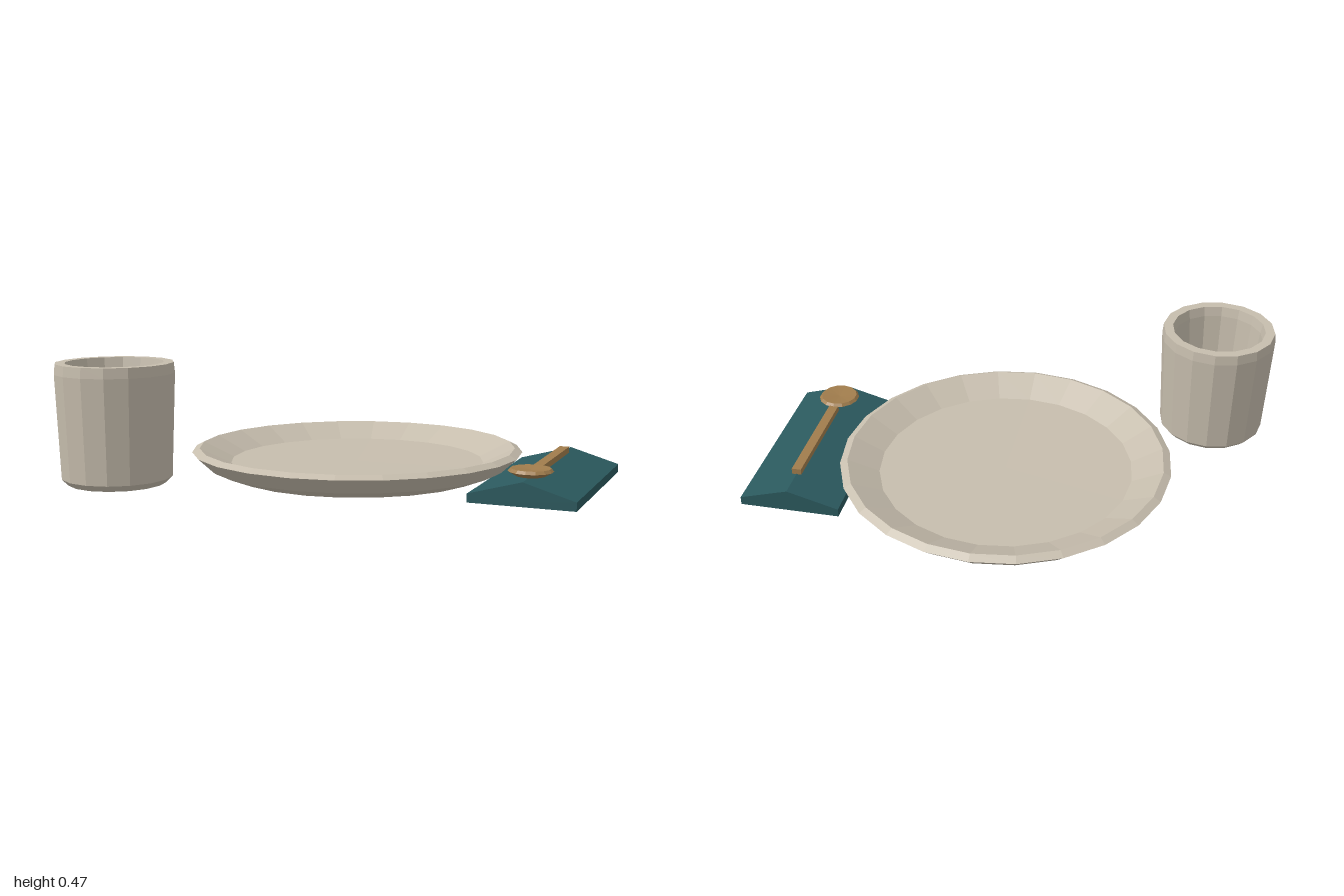
import * as THREE from 'three';

const makeMaterial = (name, color) => {
  const m = new THREE.MeshStandardMaterial({ color, flatShading: true });
  m.name = name;
  return m;
};

// Closed turned form: profile runs up the outside, then down the inside.
function turned(name, profile, sides, material, x, y, z) {
  const points = profile.map(([r, h]) => new THREE.Vector2(r, h));
  const mesh = new THREE.Mesh(new THREE.LatheGeometry(points, sides), material);
  mesh.name = name;
  mesh.position.set(x, y, z);
  return mesh;
}

export function createModel() {
  const model = new THREE.Group();
  model.name = 'placeSetting';
  const stoneware = makeMaterial('stoneware', 0xc6bdad);
  const linen = makeMaterial('tealLinen', 0x2b595e);
  const wood = makeMaterial('wood', 0xa07c4c);

  // Shallow plate with a bevelled rim
  model.add(turned('plate', [
    [0, 0], [0.51, 0], [0.6, 0.035], [0.665, 0.095],
    [0.635, 0.11], [0.51, 0.05], [0, 0.045],
  ], 24, stoneware, 0.015, 0, -0.065));

  // Tapered cup with a thick wall
  model.add(turned('cup', [
    [0, 0], [0.19, 0], [0.215, 0.025], [0.232, 0.43], [0.228, 0.47],
    [0.19, 0.47], [0.182, 0.43], [0.15, 0.05], [0, 0.05],
  ], 16, stoneware, -0.768, 0, 0.49));

  // Folded napkin with a central ridge
  const section = new THREE.Shape([
    [0.6, 0], [1, 0], [1, 0.033], [0.805, 0.09], [0.6, 0.033],
  ].map(([x, y]) => new THREE.Vector2(x, y)));
  const napkin = new THREE.Mesh(
    new THREE.ExtrudeGeometry(section, { depth: 0.785, bevelEnabled: false }), linen);
  napkin.name = 'napkin';
  napkin.position.z = -0.455;
  model.add(napkin);

  // Wooden spoon resting on the ridge
  const spoon = new THREE.Group();
  spoon.name = 'spoon';
  const handle = new THREE.Mesh(new THREE.BoxGeometry(0.038, 0.024, 0.475), wood);
  handle.name = 'spoonHandle';
  handle.position.set(0.805, 0.1, -0.0975);
  spoon.add(handle, turned('spoonBowl', [
    [0, 0], [0.055, 0], [0.084, 0.017], [0.074, 0.028], [0, 0.021],
  ], 14, wood, 0.805, 0.093, 0.212));
  model.add(spoon);

  return model;
}
